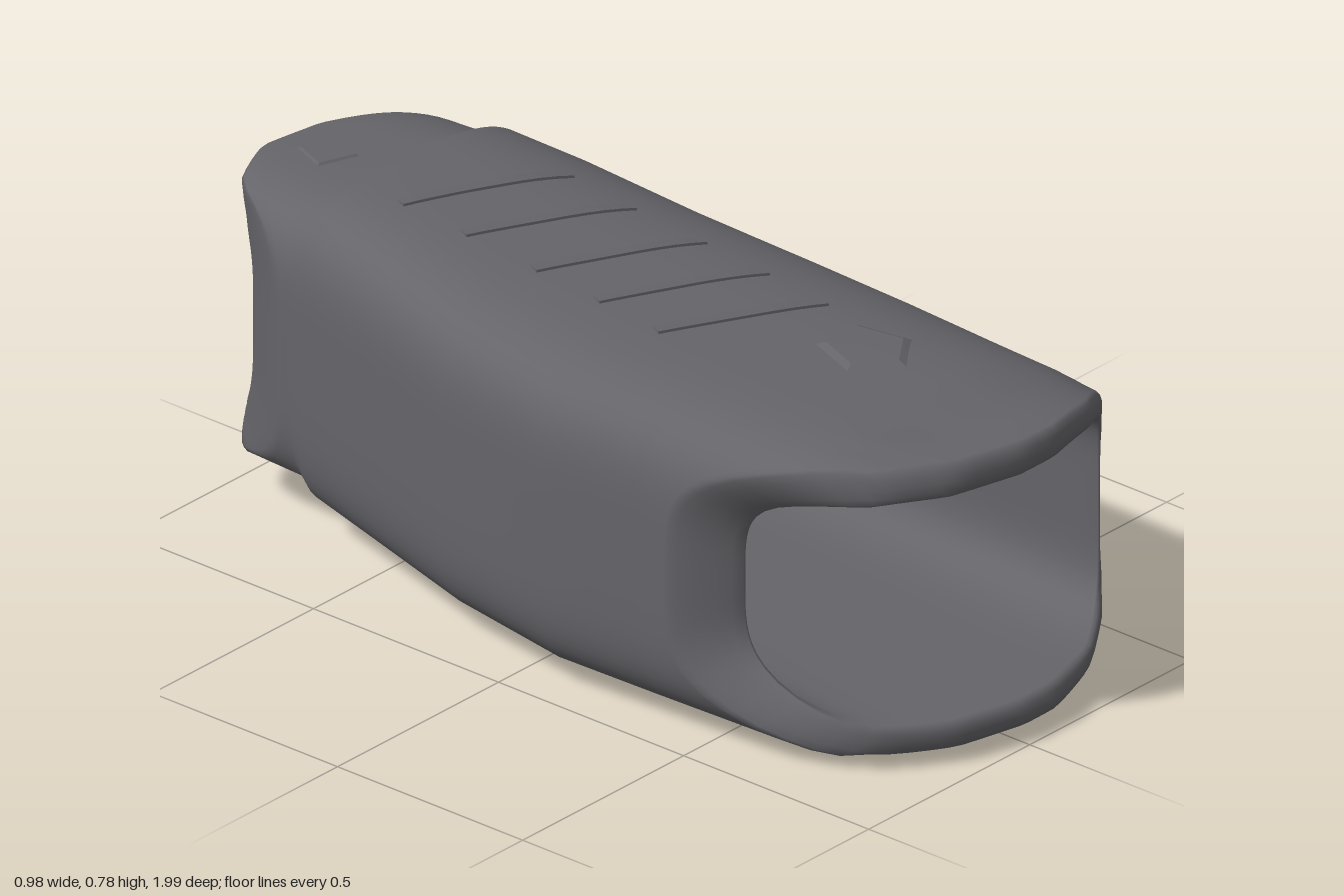
import * as THREE from 'three';

// Cross-section limits along z: [z, xMin, xMax, yMin, yMax]
const OUTER = [
  [-1, -0.29, 0.41, 0.085, 0.74], [-0.73, -0.31, 0.43, 0.085, 0.745],
  [-0.69, -0.325, 0.455, 0.055, 0.765], [-0.5, -0.37, 0.46, 0.04, 0.765],
  [-0.2, -0.45, 0.47, 0.025, 0.75], [0.1, -0.49, 0.48, 0.012, 0.74],
  [0.35, -0.472, 0.487, 0.005, 0.725], [0.6, -0.457, 0.487, 0.002, 0.71],
  [0.77, -0.45, 0.487, 0.002, 0.702], [0.81, -0.45, 0.487, 0.02, 0.69],
  [1, -0.44, 0.485, 0.03, 0.68],
];
const INNER = [
  [-1, -0.2, 0.3, 0.195, 0.63], [-0.5, -0.24, 0.31, 0.18, 0.615],
  [0.1, -0.33, 0.34, 0.14, 0.61], [0.55, -0.36, 0.37, 0.11, 0.61],
  [1, -0.4, 0.385, 0.09, 0.605],
];
// End outlines seen from above: [x, z]
const FRONT = [[-0.47, 0.62], [-0.4, 0.73], [-0.3, 0.86], [-0.16, 0.95], [0, 0.99],
  [0.1, 0.99], [0.25, 0.95], [0.38, 0.87], [0.44, 0.8], [0.49, 0.72]];
const BACK = [[-0.31, -0.78], [-0.27, -0.85], [-0.22, -0.95], [-0.1, -0.995], [0.05, -0.97],
  [0.2, -0.9], [0.38, -0.8], [0.44, -0.75]];

// Piecewise-linear lookup of column c
function lookup(table, t, c = 1) {
  if (t <= table[0][0]) return table[0][c];
  for (let i = 1; i < table.length; i++) {
    const a = table[i - 1], b = table[i];
    if (t <= b[0]) return a[c] + (b[c] - a[c]) * (t - a[0]) / (b[0] - a[0]);
  }
  return table[table.length - 1][c];
}

// Unit ring direction: boxy on one side, rounded on the other
function unit(angle, nLeft, nRight) {
  const c = Math.cos(angle), s = Math.sin(angle), n = c < 0 ? nLeft : nRight;
  const r = (Math.abs(c) ** n + Math.abs(s) ** n) ** (-1 / n);
  return [c * r, s * r];
}

function place(table, u, z) {
  const [x0, x1, y0, y1] = [1, 2, 3, 4].map((c) => lookup(table, z, c));
  return new THREE.Vector3((x0 + x1) / 2 + u[0] * (x1 - x0) / 2, (y0 + y1) / 2 + u[1] * (y1 - y0) / 2, z);
}

// Hollow sleeve: outer skin, front rim, inner skin, back rim joined in one loop
function sleeveGeometry() {
  const N = 112, body = [-0.69, -0.6, -0.5, -0.35, -0.2, -0.05, 0.1, 0.22, 0.35];
  const columns = [];
  for (let j = 0; j < N; j++) {
    const angle = (j / N) * Math.PI * 2;
    const skin = (table, u) => {
      // the side wall is cut back between the two lips
      const side = Math.max(0, -u[0]) ** 4 * (1 - Math.abs(u[1]) ** 4);
      const front = lookup(FRONT, place(table, u, 0.7).x) - 0.2 * side - 0.02;
      const back = lookup(BACK, place(table, u, -0.9).x) + 0.03 * side + 0.01;
      const zs = [];
      for (let k = 0; k < 4; k++) zs.push(back + (-0.73 - back) * k / 4);
      zs.push(Math.max(-0.73, back + 0.005), ...body);
      for (let k = 1; k <= 9; k++) zs.push(0.35 + (front - 0.35) * k / 9);
      return zs.map((z) => place(table, u, z));
    };
    const outer = skin(OUTER, unit(angle, 5, 2.6));
    const inner = skin(INNER, unit(angle, 9, 5)).reverse();
    const rim = (a, b, bulge) => [1, 2, 3, 4, 5].map((k) => {
      const t = (k / 6) * Math.PI;
      const p = a.clone().lerp(b, (1 - Math.cos(t)) / 2);
      p.z += bulge * Math.sin(t);
      return p;
    });
    columns.push([...outer, ...rim(outer.at(-1), inner[0], 0.02), ...inner, ...rim(inner.at(-1), outer[0], -0.015)]);
  }
  const M = columns[0].length, index = [];
  for (let j = 0; j < N; j++) {
    for (let i = 0; i < M; i++) {
      const jn = (j + 1) % N, k = (i + 1) % M;
      const a = j * M + i, b = jn * M + i, c = j * M + k, d = jn * M + k;
      index.push(a, b, c, b, d, c);
    }
  }
  const g = new THREE.BufferGeometry().setFromPoints(columns.flat());
  g.setIndex(index);
  g.computeVertexNormals();
  return g;
}

// Height of the outer skin above (x, z); side is 1 for top, -1 for bottom
function skinHeight(x, z, side) {
  const [x0, x1, y0, y1] = [1, 2, 3, 4].map((c) => lookup(OUTER, z, c));
  const f = Math.min(0.99, Math.abs(x - (x0 + x1) / 2) / ((x1 - x0) / 2));
  const n = x < (x0 + x1) / 2 ? 5 : 2.6;
  return (y0 + y1) / 2 + side * (y1 - y0) / 2 * (1 - f ** n) ** (1 / n);
}

// Lay a flat geometry onto the skin, keeping its own height as relief
function drape(geometry, side) {
  const g = geometry.toNonIndexed(), p = g.attributes.position;
  for (let i = 0; i < p.count; i++) {
    p.setY(i, skinHeight(p.getX(i), p.getZ(i), side) + side * p.getY(i));
  }
  if (side < 0) {
    // restore the winding after the vertical flip
    for (let i = 0; i < p.count; i += 3) {
      const a = new THREE.Vector3().fromBufferAttribute(p, i + 1);
      const b = new THREE.Vector3().fromBufferAttribute(p, i + 2);
      p.setXYZ(i + 1, b.x, b.y, b.z);
      p.setXYZ(i + 2, a.x, a.y, a.z);
    }
  }
  g.computeVertexNormals();
  return g;
}

export function createModel() {
  const model = new THREE.Group();
  model.name = 'sleeve';
  const grey = new THREE.MeshStandardMaterial({ color: 0x656469 });
  grey.name = 'dark grey';
  const add = (name, geometry) => {
    const mesh = new THREE.Mesh(geometry, grey);
    mesh.name = name;
    model.add(mesh);
  };

  add('shell', sleeveGeometry());

  for (const side of [1, -1]) {
    const where = side > 0 ? 'top' : 'bottom';
    // Slanted grip ridges
    [-0.5, -0.32, -0.12, 0.06, 0.23].forEach((z, i) => {
      const ridge = new THREE.BoxGeometry(0.38, 0.008, 0.05, 10, 1, 2);
      const p = ridge.attributes.position;
      for (let k = 0; k < p.count; k++) {
        // wedge profile that fades out towards the back
        const fade = p.getZ(k) / 0.05 + 0.5;
        if (p.getY(k) > 0) p.setY(k, -0.002 + 0.008 * fade);
      }
      ridge.rotateY(-0.44);
      ridge.translate(0.03 - i * 0.012, 0, z);
      add(where + 'Ridge' + (i + 1), drape(ridge, side));
    });
    // Five-sided boss near the front and a small square one on the back lip
    const boss = new THREE.CylinderGeometry(0.085, 0.115, 0.01, 5, 1);
    boss.translate(0.06, 0.002, 0.51);
    add(where + 'Boss', drape(boss, side));
    const tab = new THREE.CylinderGeometry(0.06, 0.07, 0.008, 4, 1);
    tab.rotateY(0.4);
    tab.translate(-0.04, 0.001, -0.86);
    add(where + 'Tab', drape(tab, side));
  }
  return model;
}
